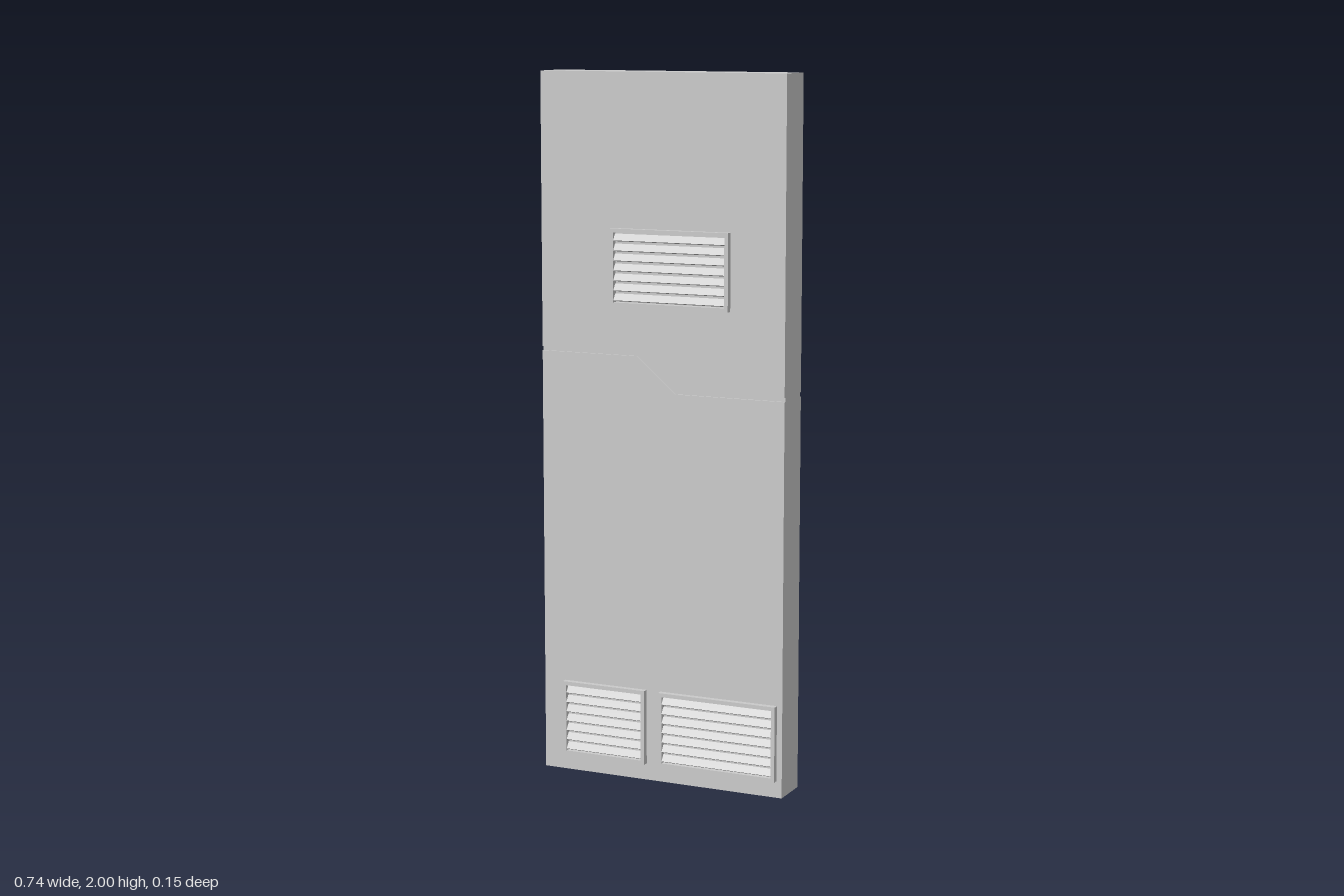
import * as THREE from 'three';

const FRONT = 0.057, BACK = -0.06; // panel faces
const MID = (FRONT + BACK) / 2;
const material = new THREE.MeshStandardMaterial({ color: 0xcccccc, flatShading: true });

function addMesh(parent, name, geometry) {
  const mesh = new THREE.Mesh(geometry, material);
  mesh.name = name;
  parent.add(mesh);
  return mesh;
}

// Flat outline extruded symmetrically about the panel's middle plane
function slab(points, depth) {
  const shape = new THREE.Shape(points.map(([x, y]) => new THREE.Vector2(x, y)));
  const geometry = new THREE.ExtrudeGeometry(shape, { depth, bevelEnabled: false });
  return geometry.translate(0, 0, MID - depth / 2);
}

// Louvred vent facing +z, its back on z = 0
function createVent(name, width, height) {
  const vent = new THREE.Group();
  vent.name = name;
  const border = 0.011, depth = 0.017, count = 7;
  const w = width / 2, h = height / 2, iw = w - border, ih = h - border;

  const frame = new THREE.Shape([[-w, -h], [w, -h], [w, h], [-w, h]].map(p => new THREE.Vector2(...p)));
  frame.holes.push(new THREE.Path([[-iw, -ih], [-iw, ih], [iw, ih], [iw, -ih]].map(p => new THREE.Vector2(...p))));
  addMesh(vent, 'ventFrame', new THREE.ExtrudeGeometry(frame, { depth, bevelEnabled: false }));

  // Tilted slats, outer edge lower
  const pitch = 2 * ih / count;
  for (let i = 0; i < count; i++) {
    const slat = addMesh(vent, 'ventSlat', new THREE.BoxGeometry(2 * iw, 0.022, 0.004));
    slat.position.set(0, -ih + (i + 0.5) * pitch, 0.008);
    slat.rotation.x = -0.6;
  }
  return vent;
}

export function createModel() {
  const model = new THREE.Group();
  model.name = 'ventedPanel';

  // Panel split by a stepped seam, with a thinner core in the groove
  const X = 0.37, thick = FRONT - BACK;
  const seamTop = [[-X, 1.229], [-0.069, 1.229], [0.048, 1.129], [X, 1.129]];
  const seamBottom = [[-X, 1.217], [-0.075, 1.217], [0.042, 1.117], [X, 1.117]];
  addMesh(model, 'upperPanel', slab([...seamTop, [X, 2], [-X, 2]], thick));
  addMesh(model, 'lowerPanel', slab([[-X, 0], [X, 0], ...[...seamBottom].reverse()], thick));
  addMesh(model, 'seamCore', slab([...seamBottom, ...[...seamTop].reverse()], thick - 0.012));

  // Vents, repeated on both faces: name, x range, y range
  const vents = [
    ['upperVent', -0.15, 0.208, 1.355, 1.571],
    ['lowerRightVent', -0.305, -0.046, 0.048, 0.264],
    ['lowerLeftVent', -0.003, 0.354, 0.048, 0.264],
  ];
  for (const [name, x0, x1, y0, y1] of vents) {
    for (const front of [true, false]) {
      const vent = createVent((front ? 'front ' : 'back ') + name, x1 - x0, y1 - y0);
      vent.position.set((x0 + x1) / 2, (y0 + y1) / 2, front ? FRONT : BACK);
      if (!front) vent.rotation.y = Math.PI;
      model.add(vent);
    }
  }
  return model;
}
